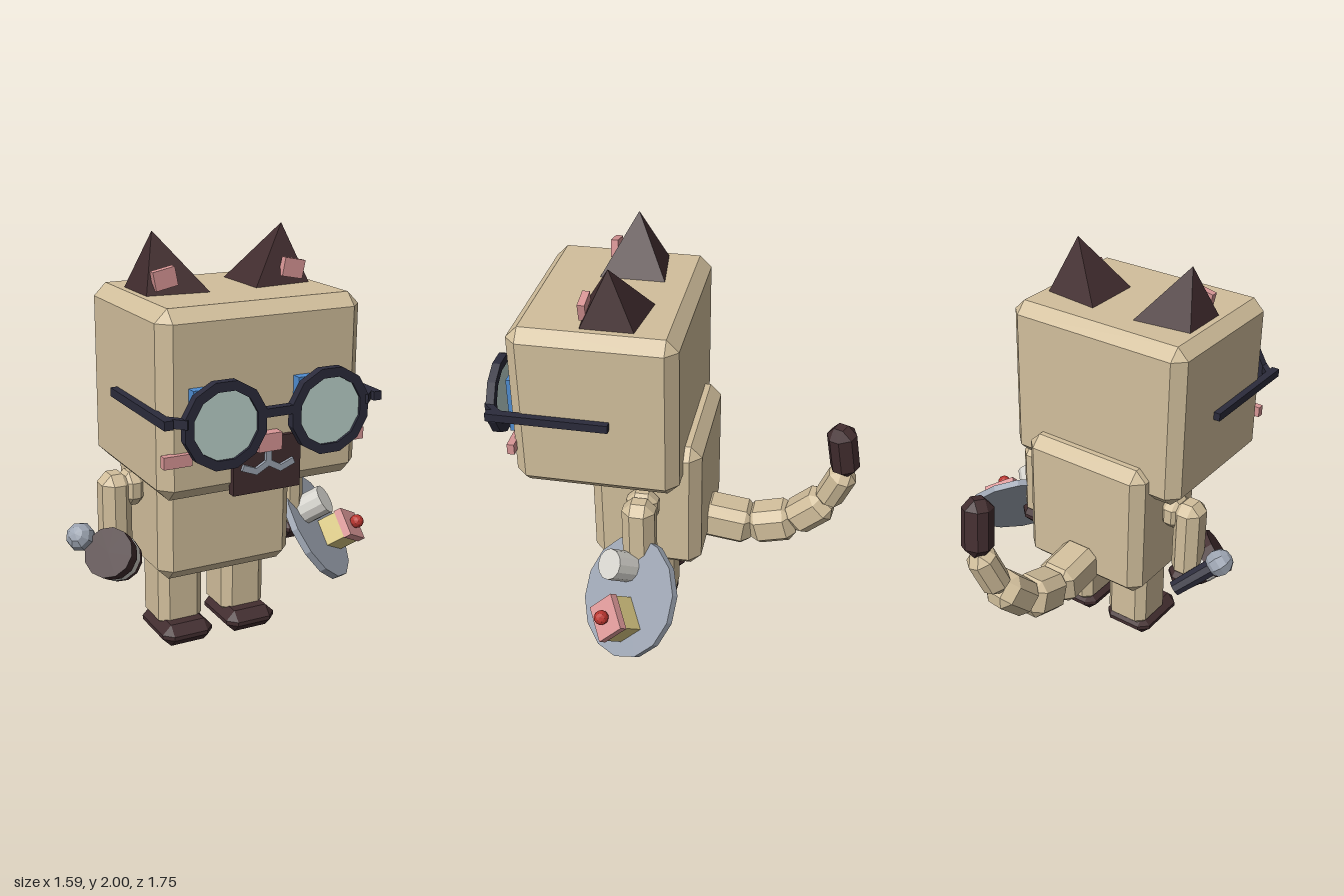
import * as THREE from 'three';
import { ConvexGeometry } from 'three/addons/geometries/ConvexGeometry.js';

const V = (x, y, z) => new THREE.Vector3(x, y, z);
const CX = -0.087; // symmetry plane of the figure

function mat(name, color) {
  const m = new THREE.MeshStandardMaterial({ color });
  m.name = name;
  m.flatShading = true;
  return m;
}

// Box with all edges cut at 45 degrees
function chamferBox(w, h, d, b) {
  const [x, y, z] = [w / 2, h / 2, d / 2];
  const pts = [];
  for (const i of [-1, 1]) for (const j of [-1, 1]) for (const k of [-1, 1]) {
    pts.push(V(i * x, j * (y - b), k * (z - b)));
    pts.push(V(i * (x - b), j * y, k * (z - b)));
    pts.push(V(i * (x - b), j * (y - b), k * z));
  }
  return new ConvexGeometry(pts);
}

export function createModel() {
  const fur = mat('fur', 0xd2bf9c);
  const brown = mat('darkBrown', 0x422d2f);
  const pink = mat('pink', 0xd99696);
  const glass = mat('paleGlass', 0xbcd3cc);
  const navy = mat('navy', 0x2b2b3b);
  const blue = mat('blue', 0x4f8dd2);
  const grey = mat('grey', 0x9ca4b1);
  const white = mat('offWhite', 0xd6d4ce);
  const yellow = mat('spongeYellow', 0xd9c883);
  const red = mat('red', 0xb9352f);

  const model = new THREE.Group();
  model.name = 'catFigure';
  const add = (name, geo, material, x = 0, y = 0, z = 0, parent = model) => {
    const m = new THREE.Mesh(geo, material);
    m.name = name;
    m.position.set(x, y, z);
    parent.add(m);
    return m;
  };
  const box = (w, h, d) => new THREE.BoxGeometry(w, h, d);

  // Head and body
  add('head', chamferBox(0.98, 0.83, 0.79, 0.057), fur, CX, 1.325, 0.35);
  add('body', chamferBox(0.69, 0.71, 0.543, 0.055), fur, CX, 0.735, 0.143);

  for (const s of [-1, 1]) {
    const side = s > 0 ? 'left' : 'right';
    const X = (v) => CX + s * v;

    // Legs and feet
    add(side + 'Leg', chamferBox(0.23, 0.42, 0.246, 0.042), fur, X(0.17), 0.27, 0.143);
    add(side + 'Foot', chamferBox(0.264, 0.11, 0.333, 0.045), brown, X(0.172), 0.055, 0.193);

    // Arms and paws
    add(side + 'Shoulder', chamferBox(0.13, 0.165, 0.155, 0.045), fur, X(0.385), 0.788, 0.145);
    add(side + 'Arm', chamferBox(0.145, 0.42, 0.16, 0.045), fur, X(0.468), 0.66, 0.145);
    add(side + 'Paw', chamferBox(0.18, 0.13, 0.18, 0.055), brown, X(0.472), 0.445, 0.145);

    // Ears: leaning pyramids with a pink patch
    const ear = [[0.11, 1.735, 0.124], [0.11, 1.735, 0.445], [0.404, 1.735, 0.413],
      [0.404, 1.735, 0.16], [0.322, 2.0, 0.29]].map(([x, y, z]) => V(X(x), y, z));
    add(side + 'Ear', new ConvexGeometry(ear), brown);
    add(side + 'InnerEar', box(0.105, 0.085, 0.035), pink, X(0.317), 1.81, 0.405).rotation.z = -s * 0.2;

    // Eyes and cheeks
    add(side + 'Eye', box(0.23, 0.28, 0.05), blue, X(0.25), 1.27, 0.765);
    add(side + 'Pupil', box(0.13, 0.18, 0.009), navy, CX + s * 0.25, 1.27, 0.795);
    add(side + 'EyeGlint', box(0.07, 0.07, 0.025), white, CX + s * 0.25 - 0.05, 1.36, 0.8);
    add(side + 'Cheek', box(0.13, 0.054, 0.035), pink, X(0.425), 1.108, 0.752);

    // Glasses
    const rim = new THREE.LatheGeometry([[0.152, -0.02], [0.195, -0.02], [0.195, 0.02],
      [0.152, 0.02], [0.152, -0.02]].map(([r, y]) => new THREE.Vector2(r, y)), 12);
    rim.rotateX(Math.PI / 2).rotateZ(Math.PI / 12);
    add(side + 'Rim', rim, navy, X(0.251), 1.268, 0.85);
    const lens = new THREE.CylinderGeometry(0.16, 0.16, 0.015, 12).rotateX(Math.PI / 2).rotateZ(Math.PI / 12);
    add(side + 'Lens', lens, glass, X(0.251), 1.268, 0.85);
    add(side + 'Temple', box(0.04, 0.04, 0.58), navy, X(0.503), 1.298, 0.56);
    add(side + 'Hinge', box(0.1, 0.04, 0.03), navy, X(0.458), 1.298, 0.832).rotation.y = s * 0.8;
  }
  add('glassesBridge', box(0.16, 0.038, 0.04), navy, CX, 1.298, 0.85);

  // Muzzle, nose and mouth
  add('muzzle', box(0.33, 0.245, 0.04), brown, CX, 1.033, 0.748);
  add('nose', box(0.113, 0.08, 0.06), pink, CX, 1.14, 0.765);
  const mouthLine = (x0, y0, x1, y1) => {
    const len = Math.hypot(x1 - x0, y1 - y0);
    const m = add('mouth', box(len + 0.012, 0.028, 0.02), grey, CX + (x0 + x1) / 2, (y0 + y1) / 2, 0.772);
    m.rotation.z = Math.atan2(y1 - y0, x1 - x0);
  };
  mouthLine(0, 1.11, 0, 1.045);
  for (const s of [-1, 1]) {
    mouthLine(0, 1.045, s * 0.06, 1.012);
    mouthLine(s * 0.06, 1.012, s * 0.12, 1.035);
  }

  // Tail: chamfered links along a curling path
  const path = [V(-0.088, 0.483, -0.09), V(-0.088, 0.45, -0.346), V(-0.085, 0.51, -0.56),
    V(-0.065, 0.668, -0.723), V(-0.02, 0.89, -0.805), V(0, 1.146, -0.765)];
  const widths = [0.205, 0.195, 0.175, 0.14, 0.14];
  widths.forEach((w, i) => {
    const [a, b] = [path[i], path[i + 1]];
    const tip = i === widths.length - 1;
    const link = add(tip ? 'tailTip' : 'tailLink', chamferBox(w, w, a.distanceTo(b) + 0.02, 0.045), tip ? brown : fur);
    link.position.lerpVectors(a, b, 0.5);
    link.lookAt(b);
    if (i > 2) link.rotateZ(0.6);
  });

  // Tilted tray with cup and cake
  const tray = new THREE.Group();
  tray.name = 'tray';
  tray.position.set(0.545, 0.41, 0.165);
  tray.rotation.set(Math.PI / 4, 0, -0.67);
  model.add(tray);
  add('plate', new THREE.CylinderGeometry(0.295, 0.295, 0.035, 14), grey, 0, 0, 0, tray);
  add('cup', new THREE.CylinderGeometry(0.075, 0.075, 0.13, 12), white, -0.13, 0.085, -0.06, tray);
  add('cakeSponge', box(0.17, 0.11, 0.14), yellow, 0.1, 0.07, 0.05, tray);
  add('cakeIcing', box(0.18, 0.04, 0.15), pink, 0.1, 0.14, 0.05, tray);
  add('cherry', new THREE.IcosahedronGeometry(0.036, 1), red, 0.1, 0.185, 0.05, tray);

  // Held items on the other side share one tilt
  const held = (name, x, y, z) => {
    const g = new THREE.Group();
    g.name = name;
    g.position.set(x, y, z);
    g.rotation.set(Math.PI / 4, 0, 0.67);
    model.add(g);
    return g;
  };
  const mug = held('banderoledMug', -0.65, 0.54, 0.29);
  add('mugTop', new THREE.CylinderGeometry(0.12, 0.115, 0.08, 12), brown, 0, -0.04, 0, mug);
  add('mugBand', new THREE.CylinderGeometry(0.112, 0.112, 0.05, 12), white, 0, -0.1, 0, mug);
  add('mugBase', new THREE.CylinderGeometry(0.112, 0.105, 0.05, 12), brown, 0, -0.145, 0, mug);

  const mic = held('microphone', -0.73, 0.58, 0.15);
  add('microphoneHead', new THREE.SphereGeometry(0.07, 8, 6), grey, 0, 0, 0, mic);
  add('microphoneHandle', new THREE.CylinderGeometry(0.045, 0.04, 0.24, 8), navy, 0, -0.14, 0, mic);

  return model;
}
